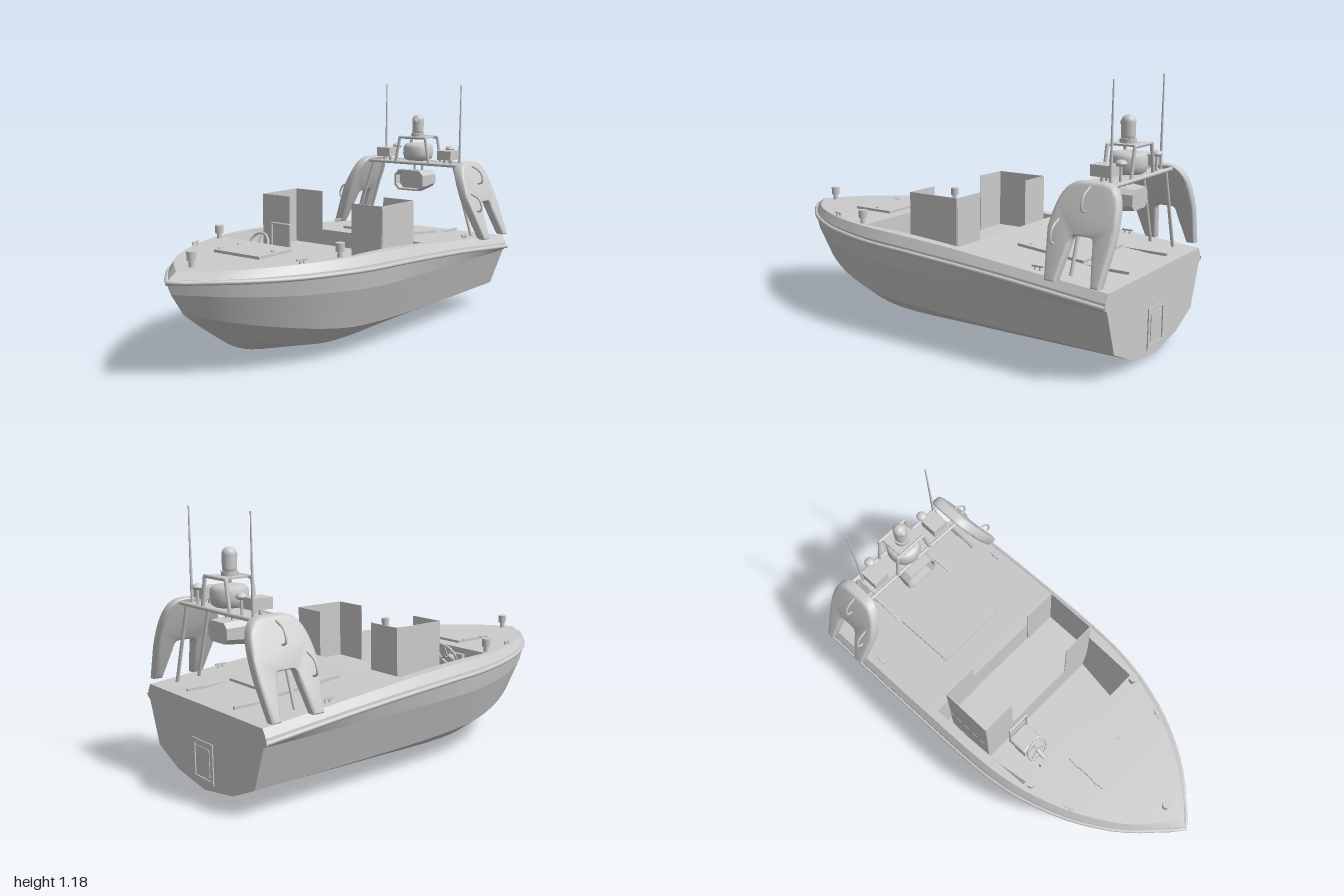
import * as THREE from 'three';
import { toCreasedNormals } from 'three/addons/utils/BufferGeometryUtils.js';
import { RoundedBoxGeometry } from 'three/addons/geometries/RoundedBoxGeometry.js';

const mat = new THREE.MeshStandardMaterial({ color: 0xcccccc, side: THREE.DoubleSide });
const V = (x, y, z) => new THREE.Vector3(x, y, z);

// Smooth interpolation of rows [z, x, y]; returns a point at z
function at(tab, z) {
  let i = 0;
  while (i < tab.length - 2 && z > tab[i + 1][0]) i++;
  const slope = (k, c) => {
    const a = tab[Math.max(k - 1, 0)], b = tab[Math.min(k + 1, tab.length - 1)];
    return (b[c] - a[c]) / (b[0] - a[0]);
  };
  const h = tab[i + 1][0] - tab[i][0], t = (z - tab[i][0]) / h;
  const f = (c) => (2 * t ** 3 - 3 * t * t + 1) * tab[i][c] + (t ** 3 - 2 * t * t + t) * h * slope(i, c)
    + (3 * t * t - 2 * t ** 3) * tab[i + 1][c] + (t ** 3 - t * t) * h * slope(i + 1, c);
  return V(f(1), f(2), z);
}

// Long lines of the hull, stern to bow: [z, half width, height]
const lines = {
  keel: [[-1, 0, 0.015], [-0.4, 0, 0.005], [0.2, 0, 0.001], [0.4, 0, 0.015], [0.6, 0, 0.07], [0.78, 0, 0.185], [0.9, 0, 0.275]],
  strake: [[-1, 0.22, 0.05], [-0.2, 0.22, 0.043], [0.2, 0.22, 0.045], [0.4, 0.195, 0.07], [0.6, 0.14, 0.13], [0.78, 0.065, 0.215], [0.9, 0, 0.277]],
  chine: [[-1, 0.38, 0.12], [-0.2, 0.38, 0.125], [0.2, 0.365, 0.14], [0.4, 0.325, 0.165], [0.6, 0.245, 0.203], [0.78, 0.13, 0.243], [0.905, 0, 0.28]],
  side: [[-1, 0.45, 0.31], [0, 0.45, 0.32], [0.2, 0.435, 0.325], [0.4, 0.39, 0.335], [0.6, 0.31, 0.345], [0.8, 0.18, 0.36], [0.97, 0, 0.375]],
  railLow: [[-1, 0.47, 0.325], [-0.5, 0.472, 0.37], [0, 0.466, 0.4], [0.2, 0.45, 0.405], [0.4, 0.405, 0.41], [0.6, 0.325, 0.413], [0.8, 0.195, 0.418], [0.99, 0, 0.42]],
  railTop: [[-1, 0.466, 0.35], [-0.5, 0.468, 0.395], [0, 0.462, 0.425], [0.2, 0.446, 0.43], [0.4, 0.4, 0.433], [0.6, 0.32, 0.435], [0.8, 0.19, 0.435], [0.985, 0, 0.435]],
  deck: [[-1, 0.445, 0.385], [-0.5, 0.445, 0.43], [-0.25, 0.443, 0.452], [0, 0.438, 0.467], [0.2, 0.422, 0.472], [0.4, 0.376, 0.472], [0.6, 0.295, 0.471], [0.8, 0.165, 0.468], [0.94, 0, 0.465]],
};
const sample = (tab, n = 48, a = -1, b = tab[tab.length - 1][0]) =>
  Array.from({ length: n + 1 }, (_, i) => at(tab, a + (b - a) * i / n));
const deckY = (z) => at(lines.deck, z).y;

// Surface between two rows of points; s = -1 builds the mirrored side
function strip(a, b, s = 1) {
  const pos = [], idx = [], n = a.length;
  for (const p of [...a, ...b]) pos.push(p.x * s, p.y, p.z);
  for (let i = 0; i < n - 1; i++) {
    const q = [i, n + i, i + 1, n + i, n + i + 1, i + 1];
    idx.push(...(s > 0 ? q : q.reverse()));
  }
  const g = new THREE.BufferGeometry();
  g.setAttribute('position', new THREE.Float32BufferAttribute(pos, 3));
  g.setIndex(idx);
  g.computeVertexNormals();
  return g;
}

export function createModel() {
  const model = new THREE.Group();
  const add = (name, geo, x = 0, y = 0, z = 0, parent = model) => {
    const m = new THREE.Mesh(geo, mat);
    m.name = name;
    m.position.set(x, y, z);
    parent.add(m);
    return m;
  };
  const box = (name, w, h, d, x, y, z) => add(name, new THREE.BoxGeometry(w, h, d), x, y, z);
  const cyl = (name, r0, r1, h, x, y, z) => add(name, new THREE.CylinderGeometry(r0, r1, h, 20), x, y, z);
  const tube = (name, pts, r, straight = true) => {
    const path = straight ? new THREE.CurvePath() : new THREE.CatmullRomCurve3(pts);
    if (straight) for (let i = 0; i < pts.length - 1; i++) path.add(new THREE.LineCurve3(pts[i], pts[i + 1]));
    if (straight && pts.length > 2) { // one cylinder per leg keeps the corners square
      path.curves.forEach((c) => add(name, new THREE.TubeGeometry(c, 1, r, 10)));
      pts.slice(1, -1).forEach((p) => add(name, new THREE.SphereGeometry(r, 10, 8), p.x, p.y, p.z));
      return;
    }
    add(name, new THREE.TubeGeometry(path, straight ? 1 : 60, r, 10));
  };

  // Hull sides, gunwale and deck
  const names = Object.keys(lines);
  const inner = (z) => 0.4 - 0.02 * (z + 0.26) / 0.56;
  for (const s of [1, -1]) {
    for (let i = 0; i < names.length - 1; i++)
      add(i < 4 ? 'hull' : 'gunwale', strip(sample(lines[names[i]]), sample(lines[names[i + 1]]), s));
    for (const [a, b, open] of [[-1, -0.26, false], [-0.26, 0.3, true], [0.3, 0.94, false]]) {
      const edge = sample(lines.deck, 20, a, b);
      add('deck', strip(edge, edge.map((p) => V(open ? inner(p.z) : 0, p.y, p.z)), s));
    }
    // Cockpit side
    const zs = [-0.26, -0.1, 0.1, 0.3];
    const top = zs.map((z) => V(inner(z), deckY(z), z));
    const low = zs.map((z) => V(0.39 - 0.08 * (z + 0.26) / 0.56, 0.2, z));
    add('cockpitSide', strip(top, low, s));
    add('cockpitFloor', strip(low, low.map((p) => V(0, p.y, p.z)), s));
    for (const k of [0, 3]) add('cockpitBulkhead', strip([top[k], low[k]], [V(0, top[k].y, zs[k]), V(0, 0.2, zs[k])], s));
  }
  // Rub rail around the bow
  const rail = sample(lines.railLow, 30).map((p) => V(p.x, p.y + 0.006, p.z));
  tube('rubRail', [...rail, ...rail.slice(0, -1).reverse().map((p) => V(-p.x, p.y, p.z))], 0.01, false);

  // Transom with framed hatch
  const half = names.map((n) => at(lines[n], -1));
  const outline = [...half, ...half.slice(1).reverse().map((p) => V(-p.x, p.y, 0))];
  add('transom', new THREE.ShapeGeometry(new THREE.Shape(outline.map((p) => new THREE.Vector2(p.x, p.y)))).rotateY(Math.PI), 0, 0, -1);
  const frame = (w, h, t, d) => {
    const f = new THREE.Shape([[-w, -h], [w, -h], [w, h], [-w, h]].map((p) => new THREE.Vector2(...p)));
    f.holes.push(new THREE.Path([[t - w, t - h], [t - w, h - t], [w - t, h - t], [w - t, t - h]].map((p) => new THREE.Vector2(...p))));
    return new THREE.ExtrudeGeometry(f, { depth: d, bevelEnabled: false });
  };
  add('transomFrame', frame(0.08, 0.09, 0.018, 0.012), 0, 0.14, -1.005);
  box('transomHatch', 0.1, 0.12, 0.006, 0, 0.14, -1);

  // Deck hatches
  box('foreHatch', 0.265, 0.014, 0.215, -0.008, 0.477, 0.478);
  cyl('hatchLatch', 0.008, 0.008, 0.008, 0.1, 0.487, 0.47);
  for (const z of [0.42, 0.54]) box('hatchHinge', 0.012, 0.01, 0.03, -0.14, 0.482, z);
  const aft = box('aftHatch', 0.37, 0.014, 0.33, 0, 0.428, -0.585);
  aft.rotation.x = -Math.atan((deckY(-0.42) - deckY(-0.75)) / -0.33) * -1;
  cyl('hatchLatch', 0.008, 0.008, 0.01, 0.15, 0.443, -0.47);
  for (const s of [1, -1]) box('hatchRunner', 0.012, 0.012, 0.2, s * 0.185, deckY(-0.86) + 0.004, -0.86);

  // Bench and the three-sided screens at its ends
  box('bench', 0.72, 0.18, 0.26, 0.01, 0.29, -0.1);
  for (const [xo, xi] of [[-0.347, -0.175], [0.37, 0.2]]) {
    box('sideScreen', 0.004, 0.275, 0.258, xo, 0.518, -0.099);
    for (const z of [0.03, -0.228]) box('endScreen', Math.abs(xo - xi), 0.275, 0.004, (xo + xi) / 2, 0.518, z);
  }

  // Helm seat and wheel
  add('helmSeat', new RoundedBoxGeometry(0.12, 0.04, 0.11, 2, 0.012), -0.19, 0.36, 0.125);
  box('seatBase', 0.07, 0.15, 0.07, -0.19, 0.27, 0.125);
  tube('seatRail', [V(-0.245, 0.35, 0.083), V(-0.245, 0.525, 0.083), V(-0.132, 0.525, 0.083), V(-0.132, 0.35, 0.083)], 0.006);
  const wheel = new THREE.Group();
  wheel.name = 'steeringWheel';
  wheel.position.set(-0.205, 0.445, 0.225);
  wheel.rotation.x = -0.45;
  model.add(wheel);
  add('wheelRim', new THREE.TorusGeometry(0.057, 0.006, 8, 32), 0, 0, 0, wheel);
  for (let i = 0; i < 3; i++) {
    const a = Math.PI / 2 + i * Math.PI * 2 / 3;
    add('wheelSpoke', new THREE.BoxGeometry(0.055, 0.008, 0.006), Math.cos(a) * 0.028, Math.sin(a) * 0.028, 0, wheel).rotation.z = a;
  }
  tube('wheelColumn', [V(-0.205, 0.445, 0.225), V(-0.205, 0.41, 0.3)], 0.012);
  box('helmPanel', 0.09, 0.05, 0.02, -0.205, 0.42, 0.29);

  // Deck lights and cleats
  for (const [x, z] of [[-0.36, 0.33], [0.36, 0.33], [0, 0.855]]) {
    cyl('lightStem', 0.012, 0.012, 0.03, x, 0.485, z);
    cyl('deckLight', 0.021, 0.019, 0.038, x, 0.516, z);
  }
  for (const s of [1, -1]) for (const [x, z, r] of [[0.315, 0.53, 0.35], [0.405, -0.66, 0]]) {
    const cleat = box('cleat', 0.008, 0.007, 0.055, s * x, deckY(z) + 0.016, z);
    cleat.rotation.y = -s * r;
    for (const d of [-0.012, 0.012]) cyl('cleatFoot', 0.004, 0.005, 0.016, s * x, deckY(z) + 0.006, z + d);
  }

  // Leaning fork-shaped arch fins, drawn as [distance aft, height]
  const lean = (y) => 0.455 - (y - 0.42) * 0.43;
  const fin = new THREE.Shape();
  fin.moveTo(0.745, 0.415);
  fin.lineTo(0.775, 0.415);
  fin.lineTo(0.797, 0.54);
  fin.quadraticCurveTo(0.8, 0.592, 0.83, 0.592);
  fin.lineTo(0.895, 0.592);
  fin.quadraticCurveTo(0.922, 0.59, 0.925, 0.54);
  fin.lineTo(0.95, 0.415);
  fin.lineTo(0.968, 0.415);
  fin.lineTo(0.982, 0.56);
  fin.bezierCurveTo(0.985, 0.68, 0.975, 0.772, 0.9, 0.772);
  fin.lineTo(0.81, 0.772);
  fin.bezierCurveTo(0.75, 0.772, 0.72, 0.72, 0.71, 0.6);
  fin.closePath();
  for (const s of [1, -1]) {
    const g = new THREE.ExtrudeGeometry(fin, { depth: 0.026, bevelSize: 0.012, bevelThickness: 0.014, bevelSegments: 3, curveSegments: 10 });
    g.translate(0, 0, -0.013).rotateY(Math.PI / 2);
    const p = g.attributes.position;
    for (let i = 0; i < p.count; i++) p.setX(i, p.getX(i) + s * lean(p.getY(i)));
    add('archFin', toCreasedNormals(g, 0.6));
    // Grab handles outside the fin
    for (const [y, z] of [[0.59, -0.745], [0.72, -0.85]])
      tube('grabHandle', [[-0.05, 0.01], [-0.035, 0.055], [0.015, 0.065], [0.05, 0.015]].map(([d, o]) => V(s * (lean(y + d) + o), y + d, z)), 0.005, false);
    for (const z of [-0.795, -0.905]) tube('archLeg', [V(s * 0.255, 0.765, z), V(s * 0.37, deckY(z), z)], 0.008);
  }

  // Arch platform
  for (const z of [-0.79, -0.92]) tube('archCrossbar', [V(-0.29, 0.765, z), V(0.29, 0.765, z)], 0.009);
  box('archPlate', 0.5, 0.006, 0.13, 0, 0.765, -0.855);
  for (const s of [1, -1]) {
    // Equipment boxes, satellite domes and whip antennas
    box('equipmentBox', 0.082, 0.048, 0.09, s * 0.193, 0.815, -0.84);
    for (const d of [-0.02, 0.02]) cyl('boxPost', 0.008, 0.008, 0.03, s * 0.193 + d, 0.78, -0.84);
    cyl('domeStem', 0.006, 0.006, 0.08, s * 0.17, 0.805, -0.9);
    add('satelliteDome', new THREE.SphereGeometry(0.025, 20, 8, 0, Math.PI * 2, 0, Math.PI / 2).scale(1, 0.7, 1), s * 0.17, 0.842, -0.9);
    cyl('domeBase', 0.025, 0.018, 0.01, s * 0.17, 0.838, -0.9);
    cyl('whipAntenna', 0.003, 0.007, 0.42, s * 0.236, 0.972, -0.89);
  }

  // Upper frame with dome and top lamp
  for (const z of [-0.79, -0.915])
    tube('upperFrame', [V(-0.105, 0.77, z), V(-0.08, 0.902, z), V(0.08, 0.902, z), V(0.105, 0.77, z)], 0.008);
  box('upperPlate', 0.13, 0.008, 0.125, 0, 0.902, -0.852);
  const dome = [[0, 0], [0.06, 0], [0.075, 0.01], [0.081, 0.035], [0.08, 0.07], [0.07, 0.087], [0.045, 0.092], [0, 0.092]];
  add('radarDome', new THREE.LatheGeometry(dome.map((p) => new THREE.Vector2(...p)), 32), 0, 0.778, -0.85);
  add('topLamp', new THREE.CapsuleGeometry(0.031, 0.055, 8, 20), 0, 0.966, -0.845);
  cyl('lampBase', 0.036, 0.036, 0.02, 0, 0.915, -0.845);
  add('lampLens', new THREE.SphereGeometry(0.016, 14, 10), 0, 0.99, -0.823);

  // Chamfered loudhailer under the platform
  const oct = (w, h, c) => [[w - c, -h], [w, c - h], [w, h - c], [w - c, h], [c - w, h], [-w, h - c], [-w, c - h], [c - w, -h]].map((p) => new THREE.Vector2(...p));
  const horn = new THREE.Shape(oct(0.09, 0.055, 0.026));
  horn.holes.push(new THREE.Path(oct(0.08, 0.046, 0.022).reverse()));
  add('hornRim', new THREE.ExtrudeGeometry(horn, { depth: 0.04, bevelEnabled: false }), 0.004, 0.675, -0.79);
  const body = new THREE.ExtrudeGeometry(new THREE.Shape(oct(0.09, 0.055, 0.026)), { depth: 0.12, bevelEnabled: false });
  const bp = body.attributes.position;
  for (let i = 0; i < bp.count; i++) {
    const k = 0.8 + 0.2 * bp.getZ(i) / 0.12;
    bp.setXY(i, bp.getX(i) * k, bp.getY(i) * k);
  }
  body.computeVertexNormals();
  add('hornBody', body, 0.004, 0.675, -0.91);
  for (const x of [-0.02, 0.028]) cyl('hornHanger', 0.006, 0.006, 0.05, x, 0.745, -0.85);
  return model;
}
